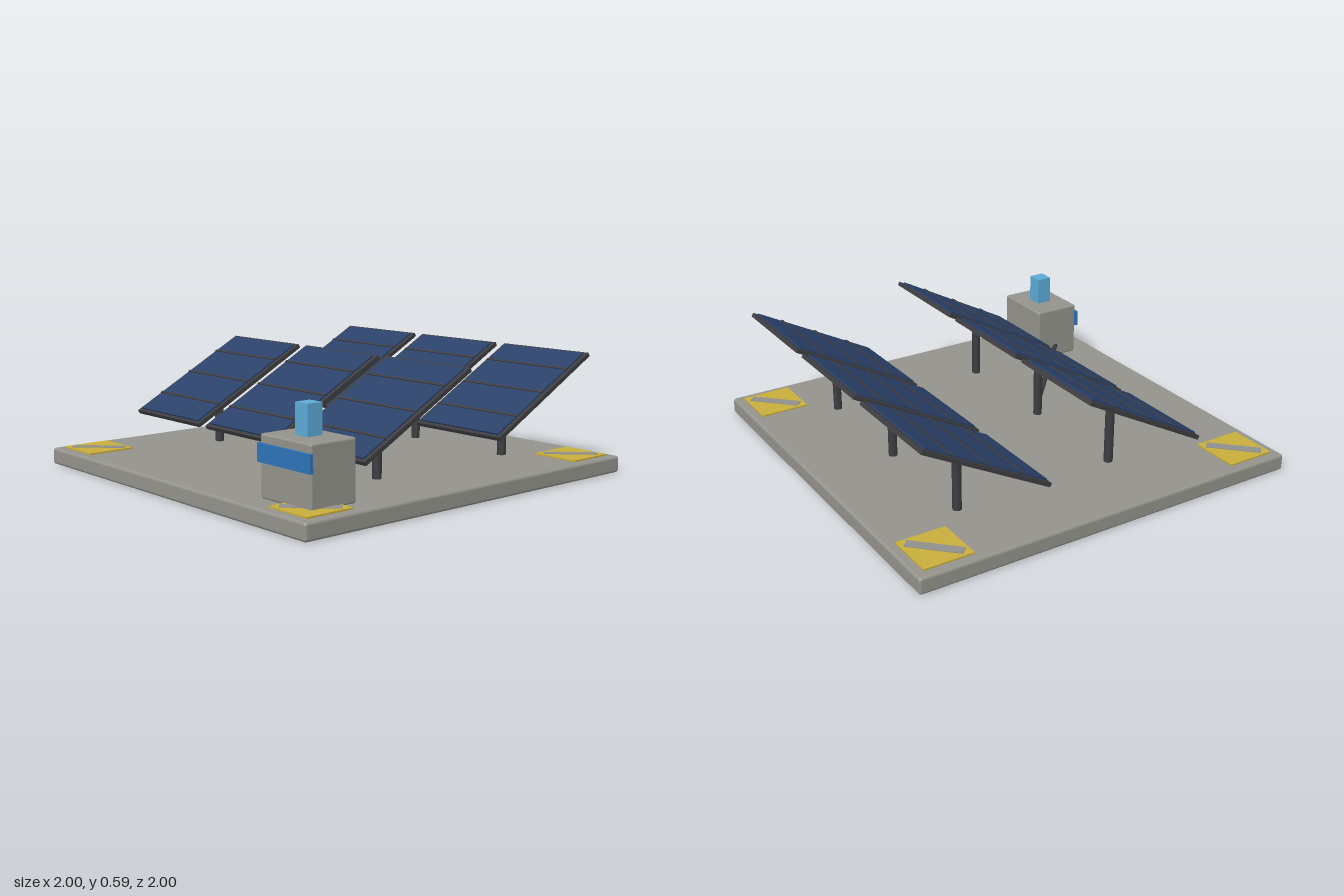
import * as THREE from 'three';
import { RoundedBoxGeometry } from 'three/addons/geometries/RoundedBoxGeometry.js';

const material = (name, color) => {
  const m = new THREE.MeshStandardMaterial({ color });
  m.name = name;
  return m;
};

export function createModel() {
  const concrete = material('concrete grey', 0x94938c);
  const metal = material('dark metal', 0x3e3e42);
  const cellBlue = material('solar cell blue', 0x2b4169);
  const yellow = material('warning yellow', 0xc9ae3c);
  const stripeGrey = material('stripe grey', 0x8f8f8d);
  const bandBlue = material('band blue', 0x2f74ba);
  const lampBlue = material('lamp blue', 0x5cabd8);

  const model = new THREE.Group();
  model.name = 'solarArray';

  const add = (parent, name, geometry, mat, x, y, z) => {
    const mesh = new THREE.Mesh(geometry, mat);
    mesh.name = name;
    mesh.position.set(x, y, z);
    parent.add(mesh);
    return mesh;
  };
  const box = (w, h, d) => new THREE.BoxGeometry(w, h, d);

  // Base slab with softened edges
  add(model, 'baseSlab', new RoundedBoxGeometry(2, 0.082, 2, 2, 0.014), concrete, 0, 0.041, 0);

  // Corner warning plates, each with a diagonal stripe
  for (const x of [-0.832, 0.832]) {
    for (const z of [-0.832, 0.832]) {
      add(model, 'warningPlate', box(0.246, 0.008, 0.246), yellow, x, 0.086, z);
      const stripe = add(model, 'warningStripe', box(0.26, 0.004, 0.05), stripeGrey, x, 0.0905, z);
      stripe.rotation.y = Math.PI / 4;
    }
  }

  // Two rows of three tilted panels on posts
  const tilt = 0.495;
  const postGeometry = new THREE.CylinderGeometry(0.022, 0.022, 0.315, 8);
  for (const z of [0.25, -0.585]) {
    for (const x of [-0.6, 0, 0.6]) {
      add(model, 'post', postGeometry, metal, x, 0.2375, z);

      const panel = new THREE.Group();
      panel.name = 'solarPanel';
      panel.position.set(x, 0.406, z);
      panel.rotation.x = tilt;
      model.add(panel);

      add(panel, 'panelFrame', box(0.54, 0.02, 0.72), metal, 0, 0, 0);
      add(panel, 'solarCells', box(0.5, 0.008, 0.686), cellBlue, 0, 0.014, 0);
      for (const s of [-0.2, 0, 0.2]) {
        add(panel, 'cellDivider', box(0.51, 0.006, 0.012), metal, 0, 0.019, s);
      }
    }
  }

  // Control cabinet with front band and status lamp
  add(model, 'controlCabinet', new RoundedBoxGeometry(0.33, 0.28, 0.245, 2, 0.01), concrete, 0.72, 0.221, 0.752);
  add(model, 'cabinetBand', box(0.345, 0.082, 0.018), bandBlue, 0.72, 0.281, 0.878);
  add(model, 'statusLamp', box(0.08, 0.14, 0.08), lampBlue, 0.72, 0.43, 0.748);

  // Conduit from the middle front post to the cabinet
  const start = new THREE.Vector3(0, 0.14, 0.25);
  const end = new THREE.Vector3(0.57, 0.14, 0.755);
  const conduit = add(model, 'conduit', new THREE.CylinderGeometry(0.013, 0.013, start.distanceTo(end), 8), metal, 0, 0, 0);
  conduit.position.lerpVectors(start, end, 0.5);
  conduit.quaternion.setFromUnitVectors(new THREE.Vector3(0, 1, 0), end.clone().sub(start).normalize());

  return model;
}
